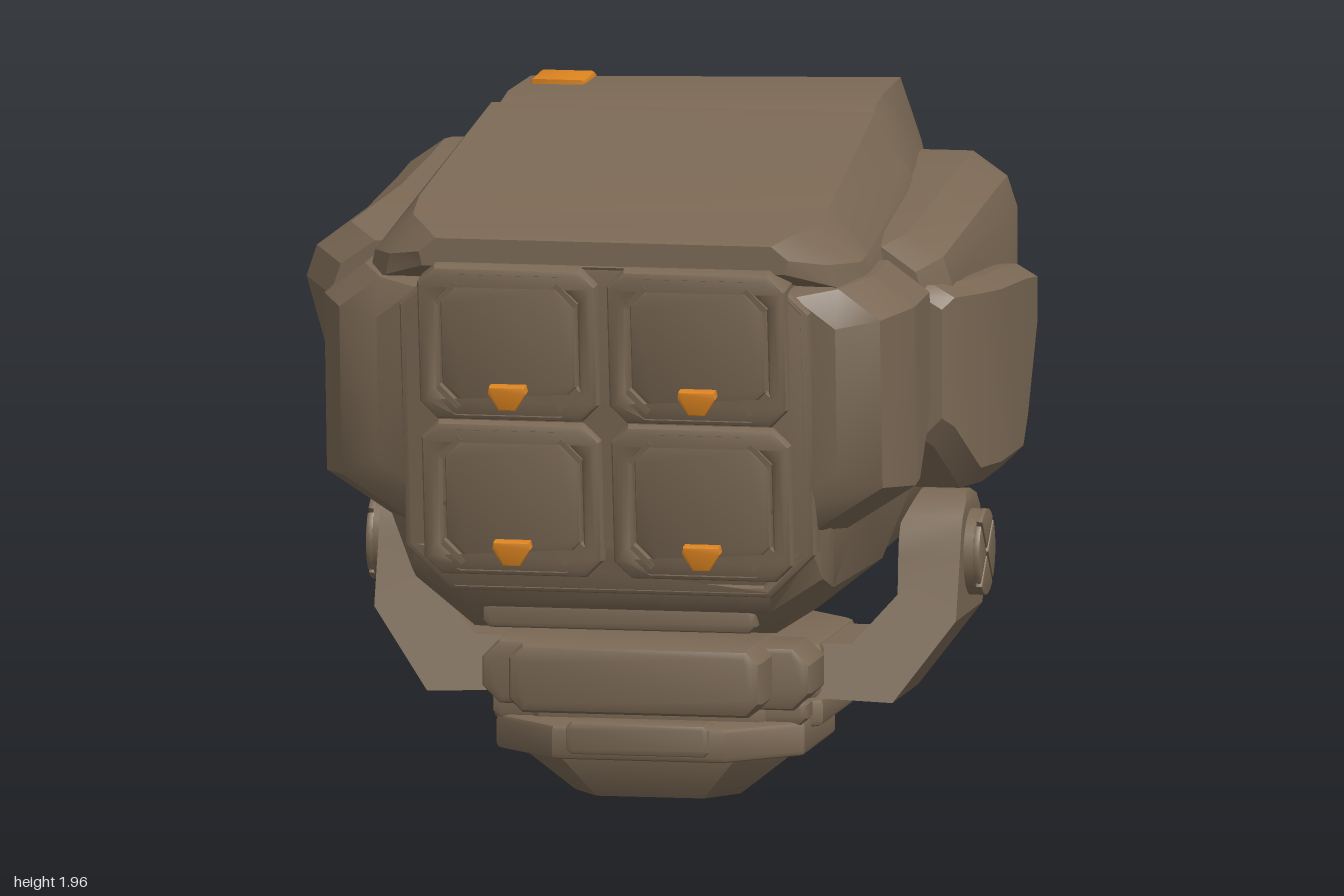
import * as THREE from 'three';
import { toCreasedNormals } from 'three/addons/utils/BufferGeometryUtils.js';

const armour = new THREE.MeshStandardMaterial({ color: 0x7a6854 });
armour.name = 'brown armour';
const accent = new THREE.MeshStandardMaterial({ color: 0xdc8420 });
accent.name = 'orange accent';

// Make all triangles face outwards (also after mirroring) and crease the edges
function finish(geometry) {
  const g = geometry.index ? geometry.toNonIndexed() : geometry;
  const p = g.attributes.position;
  const [a, b, c] = [0, 1, 2].map(() => new THREE.Vector3());
  let volume = 0;
  for (let i = 0; i < p.count; i += 3) {
    a.fromBufferAttribute(p, i); b.fromBufferAttribute(p, i + 1); c.fromBufferAttribute(p, i + 2);
    volume += a.dot(b.cross(c));
  }
  if (volume < 0) {
    for (let i = 0; i < p.count; i += 3) {
      b.fromBufferAttribute(p, i + 1); c.fromBufferAttribute(p, i + 2);
      p.setXYZ(i + 1, c.x, c.y, c.z); p.setXYZ(i + 2, b.x, b.y, b.z);
    }
  }
  g.computeVertexNormals();
  return toCreasedNormals(g, 0.5);
}

// Move every vertex by a rule
function warp(g, rule) {
  const p = g.attributes.position, v = new THREE.Vector3();
  for (let i = 0; i < p.count; i++) {
    rule(v.fromBufferAttribute(p, i));
    p.setXYZ(i, v.x, v.y, v.z);
  }
  return g;
}

// Closed skin through rings of [x, y, z] points
function loft(rings) {
  const index = [], n = rings[0].length, last = rings.length - 1;
  for (let s = 0; s < last; s++) for (let i = 0; i < n; i++) {
    const a = s * n + i, b = s * n + (i + 1) % n;
    index.push(a, b, a + n, b, b + n, a + n);
  }
  for (let i = 1; i < n - 1; i++) {
    index.push(0, i + 1, i, last * n, last * n + i, last * n + i + 1);
  }
  const g = new THREE.BufferGeometry();
  g.setAttribute('position', new THREE.Float32BufferAttribute(rings.flat(2), 3));
  g.setIndex(index);
  return g;
}
// Ring at depth z; lean tips its top forward
const ring = (z, pts, lean = 0) => pts.map(([x, y]) => [x, y, z + lean * (y - 1.2)]);
// Left-right symmetric skin from half sections [z, [[x, y], ...]]
const symmetric = (sections, lean) => loft(sections.map(([z, half]) =>
  ring(z, [...half, ...half.map(([x, y]) => [-x, y]).reverse()], lean)));

// Bevelled plate from an outline, with an optional hole, from z = 0 to z = depth
function plate(outline, depth, bevel = 0.015, hole) {
  const shape = new THREE.Shape(outline.map(p => new THREE.Vector2(...p)));
  if (hole) shape.holes.push(new THREE.Path(hole.map(p => new THREE.Vector2(...p))));
  return new THREE.ExtrudeGeometry(shape, {
    depth: depth - 2 * bevel, bevelThickness: bevel, bevelSize: bevel, bevelOffset: -bevel, bevelSegments: 2,
  }).translate(0, 0, bevel);
}
// Rectangle outline with cut corners
const cut = (x0, x1, y0, y1, c) => [[x0 + c, y0], [x1 - c, y0], [x1, y0 + c], [x1, y1 - c],
  [x1 - c, y1], [x0 + c, y1], [x0, y1 - c], [x0, y0 + c]];
// Horizontal slab with cut corners
const slab = (hx, z0, z1, y0, y1, c, bevel = 0.015) =>
  plate(cut(-hx, hx, -z1, -z0, c), y1 - y0, bevel).rotateX(-Math.PI / 2).translate(0, y0, 0);
// Piecewise linear lookup
function curve(table, t) {
  let i = 1;
  while (i < table.length - 1 && t > table[i][0]) i++;
  const [a, b] = [table[i - 1], table[i]];
  return THREE.MathUtils.mapLinear(THREE.MathUtils.clamp(t, a[0], b[0]), a[0], b[0], a[1], b[1]);
}

export function createModel() {
  const model = new THREE.Group();
  const add = (name, g, mat = armour, parent = model) => {
    const mesh = new THREE.Mesh(finish(g), mat);
    mesh.name = name;
    parent.add(mesh);
  };

  // Foot and turntable
  add('foot', warp(slab(0.43, -0.33, 0.29, 0, 0.15, 0.15, 0.001), v => {
    const k = v.y / 0.15;
    v.x *= 0.56 + 0.44 * k;
    v.z = -0.02 + (v.z + 0.02) * (0.8 + 0.2 * k);
  }));
  add('turntable', slab(0.45, -0.45, 0.42, 0.13, 0.23, 0.2));
  add('turntableTab', plate(cut(-0.21, 0.21, 0.145, 0.24, 0.015), 0.12).translate(0, 0, 0.31));
  add('turntableRim', slab(0.48, -0.53, 0.26, 0.2, 0.28, 0.16));
  add('yokeBase', slab(0.47, -0.58, 0.2, 0.27, 0.44, 0.13, 0.025));
  add('yokeFrontBlock', plate(cut(-0.37, 0.37, 0.27, 0.47, 0.04), 0.4, 0.03).translate(0, 0, 0.085));
  add('yokeFrontLugs', plate(cut(-0.48, 0.48, 0.27, 0.455, 0.05), 0.24, 0.02).translate(0, 0, 0.06));
  add('yokeLatch', plate(cut(-0.46, 0.46, 0.22, 0.3, 0.02), 0.1).translate(0, 0, 0.14));

  // Yoke arms and pivot discs; each arm section is an outer and an inner point
  const armSections = [[0.4, 0.28, 0.4, 0.43], [0.68, 0.27, 0.55, 0.43], [0.85, 0.5, 0.675, 0.57], [0.85, 0.67, 0.67, 0.67],
    [0.85, 0.74, 0.67, 0.74], [0.85, 0.79, 0.67, 0.79], [0.85, 0.83, 0.68, 0.83], [0.84, 0.85, 0.69, 0.85]];
  const armFront = [[0.27, 0.08], [0.67, -0.06], [0.74, -0.08], [0.79, -0.11], [0.83, -0.16], [0.85, -0.21]];
  const armBack = [[0.27, -0.32], [0.57, -0.44], [0.67, -0.44], [0.74, -0.41], [0.79, -0.37], [0.83, -0.32], [0.85, -0.27]];
  for (const s of [1, -1]) {
    const side = s > 0 ? 'left' : 'right';
    add(side + 'YokeArm', loft(armSections.map(([xo, yo, xi, yi]) => [
      [xo, yo, curve(armFront, yo)], [xi, yi, curve(armFront, yi)],
      [xi, yi, curve(armBack, yi)], [xo, yo, curve(armBack, yo)]])).scale(s, 1, 1));
    add(side + 'Pivot', new THREE.CylinderGeometry(0.125, 0.125, 0.22, 24).rotateZ(Math.PI / 2).translate(s * 0.77, 0.67, -0.24));
    for (let q = 0; q < 4; q++) {
      const sector = [[0.008, 0.008]];
      for (let i = 0; i <= 8; i++) {
        const t = 0.06 + i / 8 * (Math.PI / 2 - 0.12);
        sector.push([0.125 * Math.cos(t), 0.125 * Math.sin(t)]);
      }
      add(side + 'PivotCap', plate(sector, 0.022, 0.004).rotateZ(q * Math.PI / 2 + 0.75)
        .rotateY(s * Math.PI / 2).translate(s * 0.875, 0.67, -0.24));
    }
  }

  // Main hull
  add('hull', symmetric([
    [0.82, [[0.45, 0.69], [0.58, 0.8], [0.6, 1.0], [0.58, 1.5], [0.5, 1.66]]],
    [0.78, [[0.45, 0.62], [0.6, 0.72], [0.64, 0.95], [0.66, 1.5], [0.58, 1.66]]],
    [0.67, [[0.44, 0.54], [0.61, 0.68], [0.7, 0.93], [0.74, 1.5], [0.62, 1.68]]],
    [0.13, [[0.46, 0.54], [0.65, 0.69], [0.75, 0.93], [0.76, 1.55], [0.6, 1.75]]],
    [0.11, [[0.48, 0.61], [0.64, 0.7], [0.75, 0.93], [0.76, 1.55], [0.6, 1.75]]],
    [-0.66, [[0.5, 0.61], [0.64, 0.72], [0.72, 0.93], [0.72, 1.6], [0.55, 1.85]]],
  ], 0.1));
  add('rearBlock', symmetric([
    [-0.64, [[0.58, 0.72], [0.69, 0.82], [0.73, 1.6], [0.6, 1.78]]],
    [-0.79, [[0.58, 0.72], [0.67, 0.82], [0.68, 1.6], [0.58, 1.78]]],
    [-0.87, [[0.54, 0.78], [0.62, 0.87], [0.62, 1.6], [0.54, 1.76]]],
    [-0.91, [[0.5, 0.82], [0.56, 0.9], [0.56, 1.6], [0.5, 1.72]]],
  ]));
  add('chinPlate', slab(0.3, 0.05, 0.36, 0.5, 0.6, 0.05));
  add('chinLip', plate(cut(-0.4, 0.4, 0.55, 0.63, 0.02), 0.12).translate(0, 0, 0.59));
  add('rearBelly', slab(0.42, -0.73, -0.28, 0.53, 0.65, 0.04));
  for (const x of [-0.3, 0.3]) for (let i = 0; i < 4; i++) {
    add('ventSlat', new THREE.BoxGeometry(0.11, 0.012, 0.06).translate(x, 0.645 + i * 0.022, -0.705));
  }

  // Roof plates
  add('frontRoof', symmetric([
    [0.95, [[0.53, 1.63], [0.54, 1.67], [0.49, 1.71]]],
    [0.87, [[0.65, 1.59], [0.64, 1.65], [0.54, 1.735]]],
    [0.72, [[0.73, 1.55], [0.71, 1.64], [0.6, 1.745]]],
    [0.62, [[0.73, 1.56], [0.71, 1.65], [0.6, 1.785]]],
    [-0.28, [[0.67, 1.74], [0.65, 1.78], [0.56, 1.93]]],
    [-0.305, [[0.665, 1.75], [0.645, 1.785], [0.555, 1.915]]],
  ]));
  add('rearRoof', warp(symmetric([
    [-0.315, [[0.65, 1.73], [0.64, 1.78], [0.55, 1.92]]],
    [-0.34, [[0.655, 1.72], [0.64, 1.78], [0.55, 1.935]]],
    [-0.48, [[0.65, 1.72], [0.63, 1.78], [0.55, 1.955]]],
    [-0.78, [[0.62, 1.7], [0.6, 1.78], [0.54, 1.957]]],
    [-0.88, [[0.58, 1.68], [0.56, 1.75], [0.49, 1.9]]],
    [-0.955, [[0.5, 1.67], [0.5, 1.71], [0.44, 1.78]]],
  ]), v => { v.y += 0.022 * v.x - 0.008; }));
  add('roofLatch', plate([[0.61, 1.9], [0.61, 1.952], [0.77, 1.957], [0.8, 1.945], [0.835, 1.91], [0.82, 1.88]], 0.16, 0.01)
    .rotateY(Math.PI / 2).translate(-0.51, 0, 0));
  model.children.at(-1).material = accent;
  add('latchMount', plate(cut(-0.58, -0.34, 0.62, 0.82, 0.02), 0.06).rotateX(-Math.PI / 2).translate(0, 1.85, 0));

  // Cheek and shoulder armour; the right shoulder flares further out
  const cheek = (z, xo, yb, yt) => ring(z, [[0.54, yt], [xo - 0.12, yt], [xo, yt - 0.09], [xo, yb + 0.13],
    [xo - 0.2, yb], [0.54, yb]], 0.08);
  const shoulder = (z, xo, yb, yt, inset = 0) => ring(z, [[0.55, yt], [xo - 0.13, yt], [xo - 0.03, yt - 0.07], [xo, yt - 0.16],
    [xo - inset, yb + 0.05], [xo - inset - 0.05, yb], [0.55, yb]]);
  const shoulders = {
    left: [shoulder(-0.74, 0.89, 1.36, 1.76), shoulder(-0.66, 0.9, 1.27, 1.765), shoulder(-0.48, 0.9, 1.23, 1.75),
      shoulder(0.3, 0.9, 1.2, 1.67, 0.02), shoulder(0.41, 0.84, 1.25, 1.64, 0.02)],
    right: [shoulder(-0.74, 0.89, 1.36, 1.76), shoulder(-0.66, 0.9, 1.27, 1.765), shoulder(-0.48, 0.9, 1.15, 1.75),
      shoulder(-0.1, 0.92, 1.06, 1.71, 0.03), shoulder(0.25, 1, 1.05, 1.65, 0.11), shoulder(0.41, 0.9, 1.1, 1.62, 0.05)],
  };
  for (const s of [1, -1]) {
    const side = s > 0 ? 'left' : 'right';
    add(side + 'Cheek', loft([cheek(0.89, 0.67, 0.92, 1.56), cheek(0.83, 0.79, 0.87, 1.58), cheek(0.69, 0.86, 0.86, 1.6),
      cheek(0.62, 0.86, 0.87, 1.6), cheek(0.43, 0.86, 1.07, 1.61)]).scale(s, 1, 1));
    add(side + 'Shoulder', loft(shoulders[side]).scale(s, 1, 1));
  }
  // Flat panel on the left shoulder: depth, outer x, bottom, top
  add('leftSidePanel', loft([[-0.48, 0.97, 1.29, 1.44], [-0.465, 1, 1.25, 1.475], [-0.32, 1, 1, 1.49], [-0.25, 1, 0.92, 1.495],
    [0.08, 1, 0.92, 1.515], [0.22, 0.965, 0.92, 1.52], [0.385, 0.92, 1.06, 1.53], [0.425, 0.89, 1.09, 1.5]]
    .map(([z, x, yb, yt]) => ring(z, [[0.7, yt], [x - 0.06, yt], [x, yt - 0.035], [x, yb + 0.06], [x - 0.06, yb], [0.7, yb]]))));

  // Back door with screws and hinge knuckles
  add('backDoor', plate(cut(-0.34, 0.56, 0.81, 1.7, 0.06), 0.09, 0.02).translate(0, 0, -0.98));
  for (const y of [1.0, 1.47]) {
    add('doorScrew', new THREE.TorusGeometry(0.028, 0.01, 8, 18).translate(0.48, y, -0.98));
    add('doorScrewHead', new THREE.CylinderGeometry(0.018, 0.018, 0.03, 6).rotateX(Math.PI / 2).translate(0.48, y, -0.975));
  }
  for (let i = 0; i < 4; i++) {
    add('hingeKnuckle', new THREE.CapsuleGeometry(0.055, 0.09, 4, 10).translate(-0.4, 0.95 + i * 0.205, -0.92));
  }

  // Front frame and four launch tubes, tipped forward
  const tilt = 0.13;
  const tip = (g, y, z) => g.rotateX(tilt).translate(0, y, z);
  add('frontFrame', tip(plate(cut(-0.6, 0.6, -0.5, 0.48, 0.13), 0.1, 0.02,
    cut(-0.555, 0.555, -0.465, 0.455, 0.11)), 1.18, 0.8));
  add('frontBacking', tip(plate(cut(-0.57, 0.57, -0.48, 0.47, 0.1), 0.09), 1.18, 0.79));
  for (const [y, z] of [[1.41, 0.96], [0.95, 0.89]]) for (const x of [-0.277, 0.277]) {
    const tube = new THREE.Group();
    tube.name = 'launchTube';
    tube.position.set(x, y, z);
    tube.rotation.x = tilt;
    model.add(tube);
    add('tubeFrame', plate(cut(-0.262, 0.262, -0.228, 0.228, 0.05), 0.15, 0.022,
      cut(-0.205, 0.205, -0.19, 0.185, 0.06)).translate(0, 0, -0.135), armour, tube);
    add('tubeDoor', plate(cut(-0.197, 0.197, -0.182, 0.177, 0.055), 0.1, 0.015).translate(0, 0, -0.1), armour, tube);
    for (const sx of [-1, 1]) for (const sy of [-1, 1]) {
      add('doorCornerClip', new THREE.BoxGeometry(0.085, 0.016, 0.03)
        .rotateZ(-sx * sy * Math.PI / 4).translate(sx * 0.175, sy * 0.155 - 0.003, 0.003), armour, tube);
    }
    add('tubeMarker', plate([[-0.025, -0.19], [0.025, -0.19], [0.056, -0.14], [0.052, -0.12], [-0.052, -0.12], [-0.056, -0.14]],
      0.045, 0.006).translate(0, 0, -0.005), accent, tube);
  }
  return model;
}
